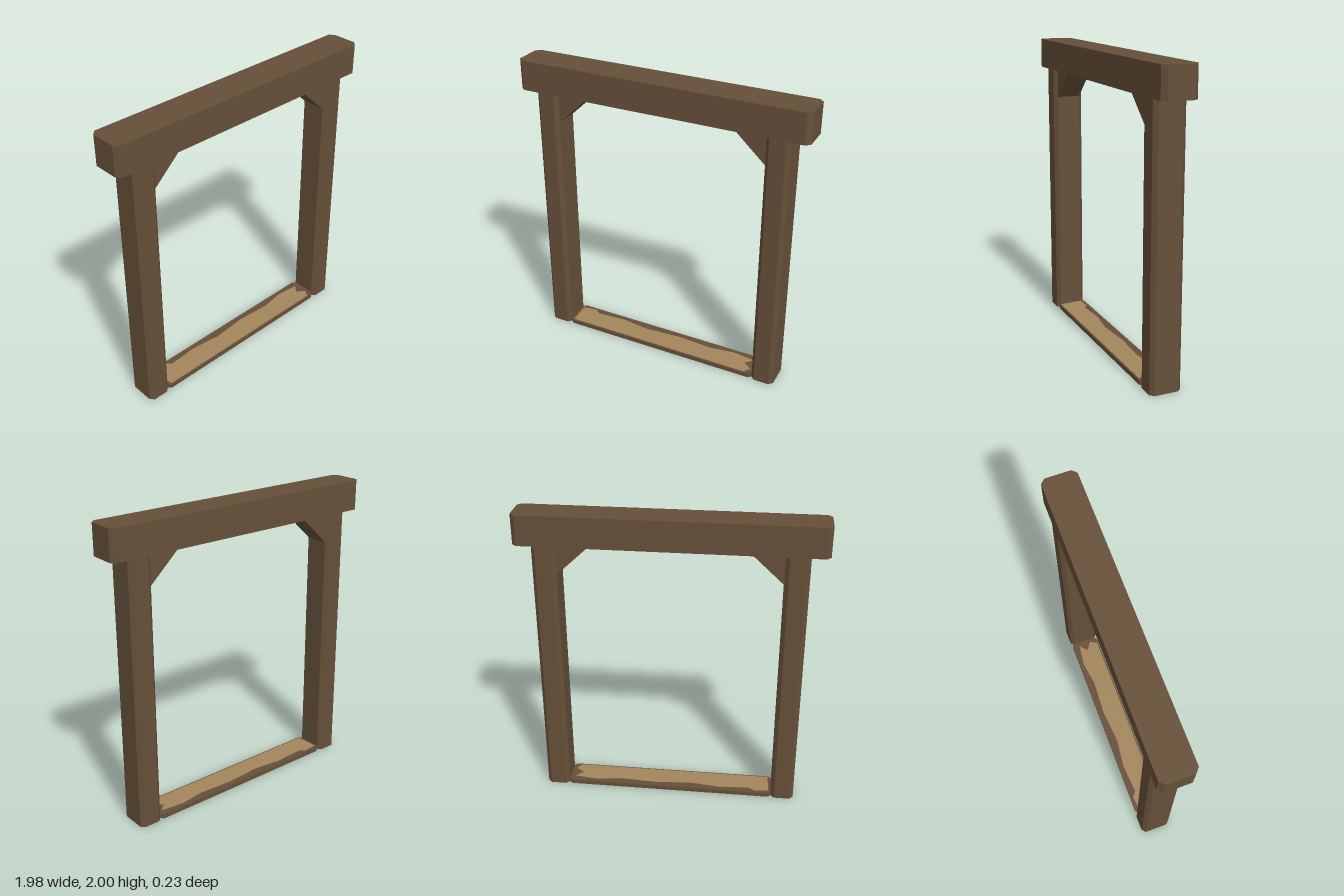
import * as THREE from 'three';

// Upright prism from an outline in x and z
function prism(points, height) {
  const shape = new THREE.Shape(points.map(([x, z]) => new THREE.Vector2(x, -z)));
  return new THREE.ExtrudeGeometry(shape, { depth: height, bevelEnabled: false }).rotateX(-Math.PI / 2);
}

// Timber with its four upright edges chamfered
function timber(width, height, depth, c) {
  const w = width / 2, d = depth / 2;
  return prism([
    [-w + c, d], [w - c, d], [w, d - c], [w, -d + c],
    [w - c, -d], [-w + c, -d], [-w, -d + c], [-w, d - c],
  ], height);
}

export function createModel() {
  const group = new THREE.Group();
  const wood = new THREE.MeshStandardMaterial({ name: 'dark wood', color: 0x665039 });
  const worn = new THREE.MeshStandardMaterial({ name: 'worn light wood', color: 0xa3865c });

  const add = (name, geometry, material, x = 0, y = 0, z = 0) => {
    const mesh = new THREE.Mesh(geometry, material);
    mesh.name = name;
    mesh.position.set(x, y, z);
    group.add(mesh);
  };

  // Lintel across the top
  add('lintel', timber(1.975, 0.2, 0.23, 0.03), wood, 0, 1.8);

  for (const [side, s] of [['left', 1], ['right', -1]]) {
    // Post
    add(side + 'Post', timber(0.155, 1.8, 0.21, 0.025), wood, s * 0.793);

    // Triangular corner brace
    const brace = new THREE.Shape([
      new THREE.Vector2(s * 0.716, 1.605),
      new THREE.Vector2(s * 0.716, 1.8),
      new THREE.Vector2(s * 0.505, 1.8),
    ]);
    add(side + 'Brace', new THREE.ExtrudeGeometry(brace, { depth: 0.16, bevelEnabled: false }), wood, 0, 0, -0.08);
  }

  // Threshold, with a worn patch on its upper face
  add('threshold', timber(1.43, 0.03, 0.2, 0.02), wood);
  const patch = [
    [-0.69, 0.09], [0.66, 0.09], [0.69, 0.04], [0.63, 0.0], [0.68, -0.05], [0.52, -0.07],
    [0.35, -0.045], [0.1, -0.06], [-0.15, -0.04], [-0.35, -0.065], [-0.56, -0.05],
    [-0.6, -0.08], [-0.7, -0.07],
  ];
  add('wornPatch', prism(patch, 0.002), worn, 0, 0.03);

  return group;
}
